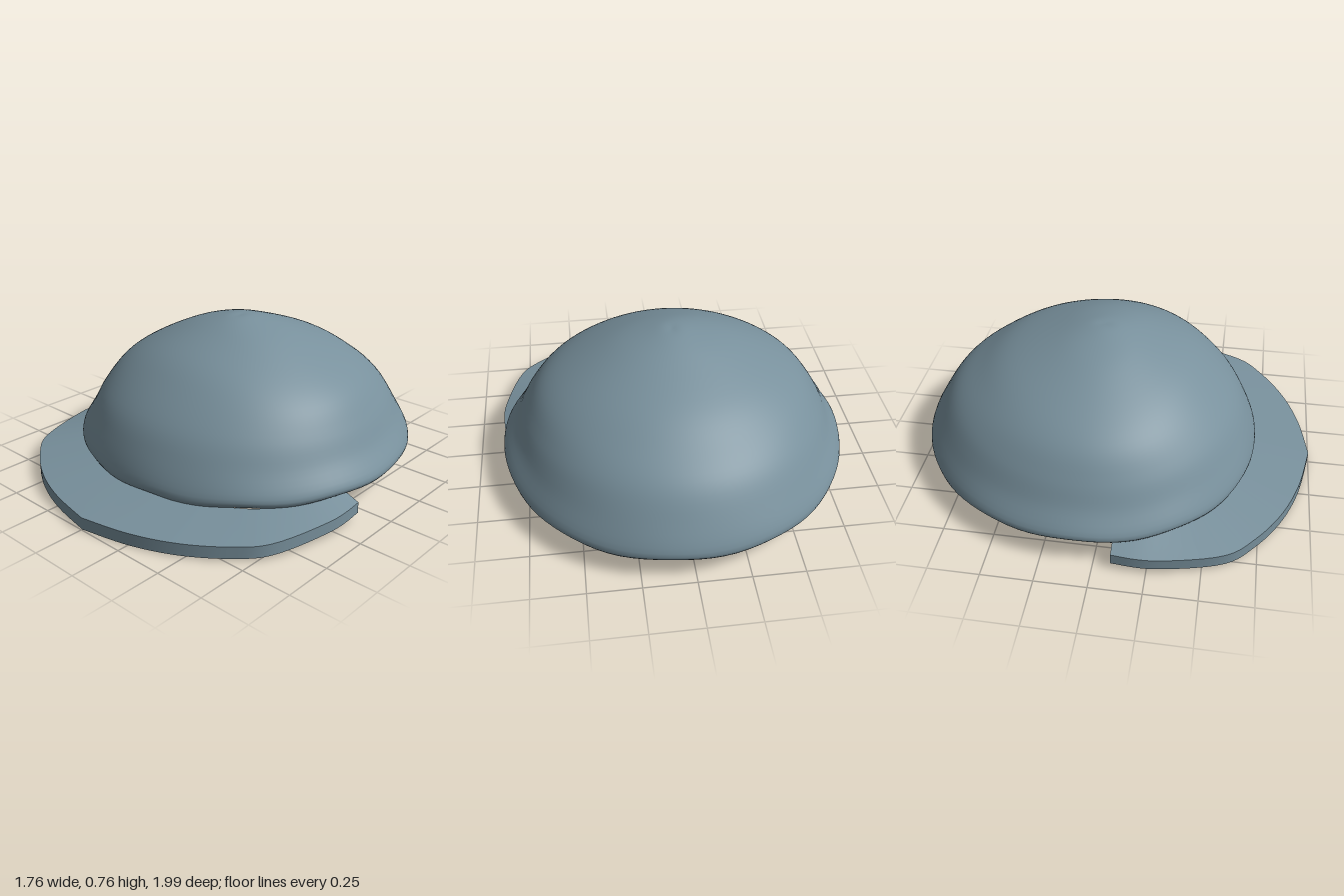
import * as THREE from 'three';
import { toCreasedNormals } from 'three/addons/utils/BufferGeometryUtils.js';

const material = new THREE.MeshStandardMaterial({ color: 0x78909c, roughness: 0.8, side: THREE.DoubleSide });
const CENTRE_Z = -0.08;

// Grid surface through rows of points; wrap flags close it along rows or columns
function gridGeometry(rows, cols, point, wrapRows, wrapCols) {
  const positions = [], index = [];
  for (let i = 0; i < rows; i++)
    for (let j = 0; j < cols; j++) positions.push(...point(i, j));
  for (let i = 0; i < (wrapRows ? rows : rows - 1); i++)
    for (let j = 0; j < (wrapCols ? cols : cols - 1); j++) {
      const a = i * cols + j, b = i * cols + (j + 1) % cols;
      const c = ((i + 1) % rows) * cols + j, d = ((i + 1) % rows) * cols + (j + 1) % cols;
      index.push(a, c, b, b, c, d);
    }
  const geometry = new THREE.BufferGeometry();
  geometry.setAttribute('position', new THREE.Float32BufferAttribute(positions, 3));
  geometry.setIndex(index);
  geometry.computeVertexNormals();
  return geometry;
}

// Crown profile as radius and height: outside, rolled lip, then the lining
function crownProfile(points) {
  const [lipR, lipY] = points[points.length - 1];
  const outside = [[0, 0.765], [0.08, 0.761], ...points];
  const lining = outside.slice(0, -2).reverse().map(([r, y]) => [r * 0.955, y - 0.025]);
  const all = [...outside, [lipR - 0.035, lipY + 0.012], [lipR - 0.05, lipY + 0.05], ...lining];
  return new THREE.SplineCurve(all.map(p => new THREE.Vector2(...p))).getPoints(84);
}

function createCrown() {
  const front = crownProfile([[0.2, 0.722], [0.4, 0.632], [0.54, 0.53], [0.67, 0.4], [0.745, 0.27], [0.79, 0.145], [0.77, 0.1]]);
  const side = crownProfile([[0.28, 0.705], [0.5, 0.6], [0.645, 0.5], [0.735, 0.38], [0.795, 0.27], [0.865, 0.165], [0.83, 0.12]]);
  const back = crownProfile([[0.22, 0.722], [0.47, 0.628], [0.63, 0.53], [0.76, 0.43], [0.85, 0.3], [0.915, 0.17], [0.88, 0.117]]);
  const around = 96;
  const geometry = gridGeometry(front.length, around, (i, j) => {
    const a = (j / around) * Math.PI * 2, c = Math.cos(a), s = Math.sin(a);
    const p = side[i].clone().lerp((c > 0 ? front : back)[i], c * c);
    // The hem dips at the back corners and waves slightly
    const hem = Math.max(0, 1 - p.y / 0.3);
    const dip = (c < 0 ? -0.03 * Math.sin(2 * a) ** 2 : 0) + 0.008 * Math.sin(11 * a);
    return [p.x * s, p.y + hem * dip, CENTRE_Z + p.x * c];
  }, false, true);
  const crown = new THREE.Mesh(geometry, material);
  crown.name = 'crown';
  return crown;
}

// Half outline from the side end to the front, mirrored to the other side
function mirroredOutline(points, steps) {
  const half = new THREE.SplineCurve(points.map(p => new THREE.Vector2(...p))).getPoints(steps);
  return [...half, ...half.slice(0, -1).reverse().map(p => new THREE.Vector2(-p.x, p.y))];
}

function createBrim() {
  const outer = mirroredOutline([[0.872, 0.085], [0.875, 0.28], [0.79, 0.59], [0.66, 0.735], [0.47, 0.86], [0.25, 0.945], [0, 0.995]], 32);
  const inner = mirroredOutline([[0.775, 0.085], [0.745, 0.26], [0.62, 0.45], [0.5, 0.54], [0.35, 0.615], [0.18, 0.66], [0, 0.68]], 32);
  // Four corners of the brim's section; the outer edge droops towards the front
  const section = i => {
    const o = outer[i], n = inner[i];
    const drop = Math.max(0, (o.y - 0.2) / 0.8);
    return [
      [o.x, 0.09 - 0.027 * drop, o.y], [n.x, 0.128 - 0.02 * drop, n.y],
      [n.x, 0.075 - 0.01 * drop, n.y], [o.x, 0.035 - 0.033 * drop, o.y],
    ];
  };
  const geometry = gridGeometry(outer.length, 4, (i, j) => section(i)[j], false, true);
  // Close both ends
  const index = Array.from(geometry.index.array), last = (outer.length - 1) * 4;
  index.push(0, 1, 2, 0, 2, 3, last, last + 2, last + 1, last, last + 3, last + 2);
  geometry.setIndex(index);
  const brim = new THREE.Mesh(toCreasedNormals(geometry, 0.6), material);
  brim.name = 'brim';
  return brim;
}

export function createModel() {
  const cap = new THREE.Group();
  cap.name = 'cap';
  cap.add(createCrown(), createBrim());
  return cap;
}
